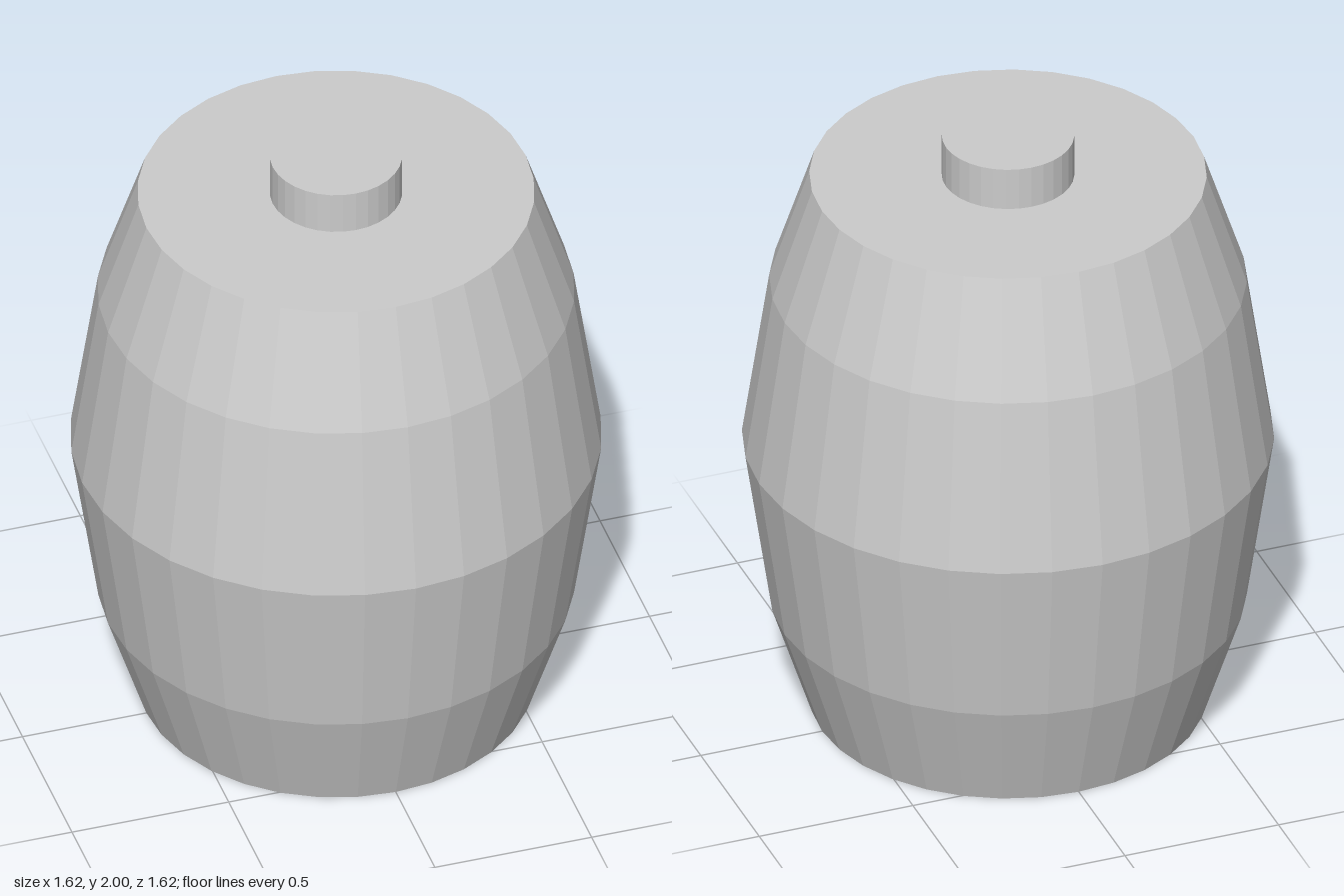
import * as THREE from 'three';

const SIDES = 32;

export function createModel() {
  const group = new THREE.Group();
  const material = new THREE.MeshStandardMaterial({ color: 0xcccccc, flatShading: true });

  const add = (name, geometry, y = 0) => {
    const mesh = new THREE.Mesh(geometry, material);
    mesh.name = name;
    mesh.position.y = y;
    group.add(mesh);
  };

  // Bulging faceted body, closed at top and bottom
  const profile = [
    [0, 0], [0.605, 0], [0.727, 0.372], [0.81, 0.93], [0.727, 1.488], [0.605, 1.86], [0, 1.86],
  ].map(([r, y]) => new THREE.Vector2(r, y));
  add('barrelBody', new THREE.LatheGeometry(profile, SIDES));

  // Short round plug on the lid
  add('plug', new THREE.CylinderGeometry(0.202, 0.202, 0.14, SIDES), 1.93);

  return group;
}
